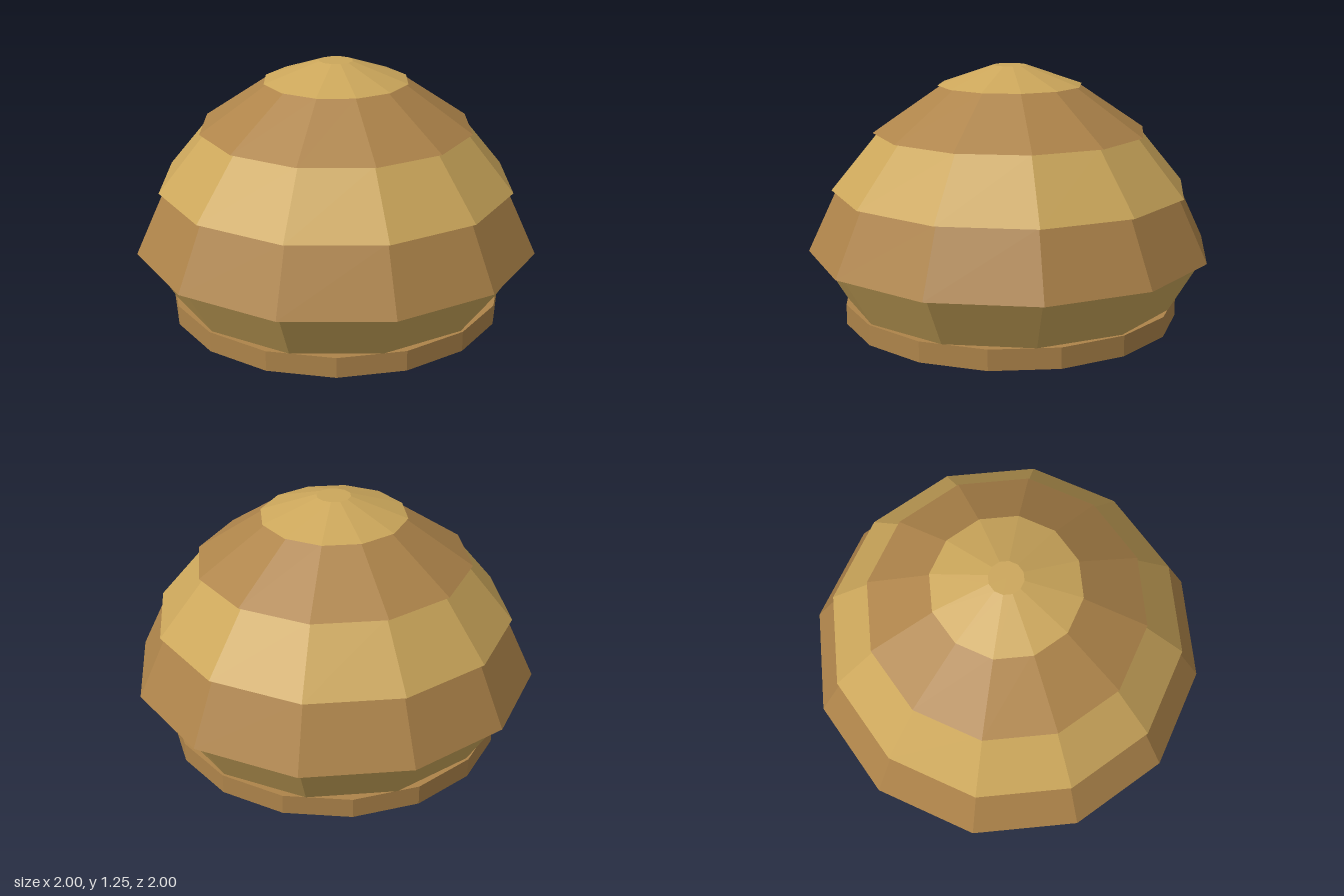
import * as THREE from 'three';

export function createModel() {
  const model = new THREE.Group();
  model.name = 'tieredDome';

  const gold = new THREE.MeshStandardMaterial({ color: 0xcca75b });
  gold.name = 'straw gold';
  const brown = new THREE.MeshStandardMaterial({ color: 0xae844a });
  brown.name = 'warm brown';

  // One closed, faceted ring of the dome
  function addTier(name, material, bottomY, topY, bottomRadius, topRadius, sides = 12) {
    const height = topY - bottomY;
    const geometry = new THREE.CylinderGeometry(topRadius, bottomRadius, height, sides).toNonIndexed();
    geometry.computeVertexNormals(); // flat facets
    const tier = new THREE.Mesh(geometry, material);
    tier.name = name;
    tier.position.y = bottomY + height / 2;
    model.add(tier);
  }

  // Foot ring, rounder than the tiers above it
  addTier('base', brown, 0, 0.1, 0.833, 0.833, 16);

  // Flaring lower wall, then overlapping tiers narrowing to the cap
  addTier('lowerWall', gold, 0.1, 0.35, 0.82, 0.965);
  addTier('wideTier', brown, 0.35, 0.652, 1.0, 0.857);
  addTier('middleTier', gold, 0.652, 0.93, 0.88, 0.65);
  addTier('upperTier', brown, 0.93, 1.155, 0.673, 0.34);
  addTier('cap', gold, 1.155, 1.25, 0.356, 0.083);

  return model;
}
